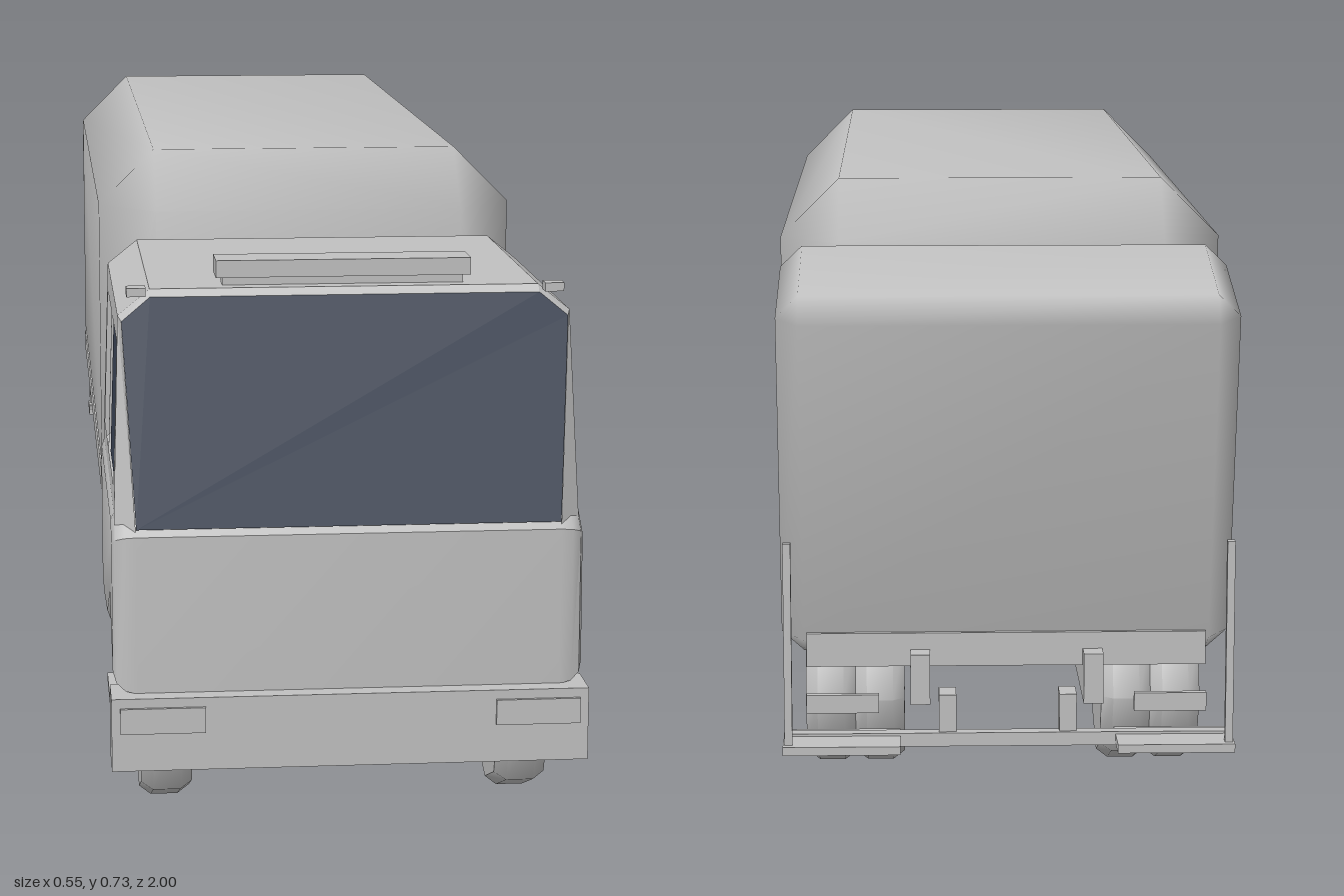
import * as THREE from 'three';
import { mergeVertices, toCreasedNormals } from 'three/addons/utils/BufferGeometryUtils.js';
import { ConvexGeometry } from 'three/addons/geometries/ConvexGeometry.js';

const paint = new THREE.MeshStandardMaterial({ color: 0xc0c0c0, side: THREE.DoubleSide });
paint.name = 'grey paint';
const glass = new THREE.MeshStandardMaterial({ color: 0x3b4455, side: THREE.DoubleSide });
glass.name = 'dark glass';

function add(parent, name, geometry, material = paint) {
  const mesh = new THREE.Mesh(geometry, material);
  mesh.name = name;
  parent.add(mesh);
  return mesh;
}

// Box given by its minimum and maximum corners
function box(parent, name, [x0, x1], [y0, y1], [z0, z1], material) {
  const mesh = add(parent, name, new THREE.BoxGeometry(x1 - x0, y1 - y0, z1 - z0), material);
  mesh.position.set((x0 + x1) / 2, (y0 + y1) / 2, (z0 + z1) / 2);
  return mesh;
}

// The same box on both sides
function boxPair(parent, name, [x0, x1], y, z) {
  box(parent, name + 'Left', [x0, x1], y, z);
  box(parent, name + 'Right', [-x1, -x0], y, z);
}

// Box with every edge chamfered by b and smooth normals
function chamferBox(hx, hy, hz, b) {
  const points = [];
  for (const sx of [-1, 1]) for (const sy of [-1, 1]) for (const sz of [-1, 1]) {
    points.push(
      new THREE.Vector3(sx * hx, sy * (hy - b), sz * (hz - b)),
      new THREE.Vector3(sx * (hx - b), sy * hy, sz * (hz - b)),
      new THREE.Vector3(sx * (hx - b), sy * (hy - b), sz * hz));
  }
  const hull = new ConvexGeometry(points);
  hull.deleteAttribute('normal');
  const smooth = mergeVertices(hull, 1e-4);
  smooth.computeVertexNormals();
  return smooth;
}

// Flat panel from a loop of corners
function panel(...corners) {
  const positions = [];
  for (let i = 1; i < corners.length - 1; i++) positions.push(...corners[0], ...corners[i], ...corners[i + 1]);
  const g = new THREE.BufferGeometry();
  g.setAttribute('position', new THREE.Float32BufferAttribute(positions, 3));
  g.computeVertexNormals();
  return g;
}

const toPath = (points) => points.map(([z, y]) => new THREE.Vector2(z, y));

// Flat (z, y) outline placed on the inward-leaning cab side
function sidePanel(outline, holes, side, offset = 0) {
  const shape = new THREE.Shape(toPath(outline));
  for (const h of holes) shape.holes.push(new THREE.Path(toPath(h)));
  const g = new THREE.ShapeGeometry(shape);
  const p = g.attributes.position;
  for (let i = 0; i < p.count; i++) {
    const z = p.getX(i), y = p.getY(i);
    p.setXYZ(i, side * (0.27 - (y - 0.35) * 0.032 + offset), y, z);
  }
  if (side > 0) g.setIndex([...g.index.array].reverse());
  g.computeVertexNormals();
  return g;
}

function buildCab() {
  const cab = new THREE.Group();
  cab.name = 'cab';

  // Lower body with wheel arches and rounded sides
  const profile = [[0.972, 0.17], [0.972, 0.355], [0.93, 0.385], [0.52, 0.385], [0.5, 0.36],
    [0.5, 0.17], [0.6, 0.17], [0.74, 0.185], [0.855, 0.24], [0.935, 0.185]];
  const lower = new THREE.ExtrudeGeometry(new THREE.Shape(toPath(profile)), {
    depth: 0.49, bevelThickness: 0.028, bevelSize: 0.02, bevelOffset: -0.02, bevelSegments: 3 });
  lower.translate(0, 0, -0.245);
  lower.rotateY(-Math.PI / 2);
  // the turn sends the outline's first axis to +z
  add(cab, 'lowerBody', toCreasedNormals(lower, 0.6));

  // Upper sides with window openings, glass in one of each pair
  const outline = [[0.945, 0.35], [0.902, 0.6], [0.512, 0.6], [0.5, 0.35]];
  const frontWindow = [[0.9, 0.4], [0.9, 0.57], [0.72, 0.57], [0.72, 0.4]];
  const rearWindow = [[0.7, 0.4], [0.7, 0.57], [0.545, 0.57], [0.545, 0.4]];
  for (const s of [1, -1]) {
    add(cab, 'upperSide', sidePanel(outline, [frontWindow, rearWindow], s));
    add(cab, 'sideWindow', sidePanel(s > 0 ? rearWindow : frontWindow, [], s, -0.002), glass);
    add(cab, 'frontPillar', panel([s * 0.245, 0.35, 0.968], [s * 0.27, 0.35, 0.945],
      [s * 0.262, 0.6, 0.902], [s * 0.258, 0.595, 0.915]));
    add(cab, 'pillarTop', panel([s * 0.258, 0.595, 0.915], [s * 0.262, 0.6, 0.902],
      [s * 0.225, 0.63, 0.9], [s * 0.225, 0.622, 0.91]));
    add(cab, 'roofEdge', panel([s * 0.262, 0.6, 0.902], [s * 0.262, 0.6, 0.512],
      [s * 0.225, 0.63, 0.515], [s * 0.225, 0.63, 0.9]));
  }
  add(cab, 'windshield', panel([-0.245, 0.363, 0.968], [0.245, 0.363, 0.968], [0.258, 0.595, 0.915],
    [0.225, 0.622, 0.91], [-0.225, 0.622, 0.91], [-0.258, 0.595, 0.915]), glass);
  add(cab, 'roof', panel([-0.225, 0.63, 0.9], [0.225, 0.63, 0.9], [0.225, 0.63, 0.515], [-0.225, 0.63, 0.515]));
  add(cab, 'roofFront', panel([-0.225, 0.622, 0.91], [0.225, 0.622, 0.91], [0.225, 0.63, 0.9], [-0.225, 0.63, 0.9]));
  add(cab, 'backWall', panel([0.27, 0.35, 0.5], [-0.27, 0.35, 0.5], [-0.262, 0.6, 0.512],
    [-0.225, 0.63, 0.515], [0.225, 0.63, 0.515], [0.262, 0.6, 0.512]));

  // Roof light bar and corner markers
  box(cab, 'lightBarBase', [-0.14, 0.14], [0.628, 0.642], [0.85, 0.88]);
  box(cab, 'lightBar', [-0.148, 0.148], [0.64, 0.66], [0.84, 0.89]);
  boxPair(cab, 'markerLight', [0.23, 0.252], [0.624, 0.634], [0.9, 0.92]);

  // Bumper, headlights and entry steps
  box(cab, 'bumper', [-0.276, 0.276], [0.085, 0.171], [0.935, 0.994]);
  boxPair(cab, 'headlight', [0.168, 0.266], [0.13, 0.16], [0.992, 0.998]);
  boxPair(cab, 'entryStep', [0.22, 0.274], [0.12, 0.128], [0.745, 0.935]);
  return cab;
}

function buildWheels() {
  const wheels = new THREE.Group();
  wheels.name = 'wheels';
  // Eight-sided tyre with rounded shoulders
  const section = [[0, -0.03], [0.095, -0.03], [0.106, -0.016], [0.106, 0.016], [0.095, 0.03], [0, 0.03]];
  const lathe = new THREE.LatheGeometry(section.map(([r, x]) => new THREE.Vector2(r, x)), 8);
  lathe.rotateZ(Math.PI / 2);
  const tyre = toCreasedNormals(lathe, 0.82);
  for (const [axle, z, tracks] of [['front', 0.84, [0.21]], ['middle', -0.415, [0.15, 0.21]], ['rear', -0.69, [0.15, 0.21]]]) {
    for (const x of tracks) for (const s of [1, -1]) {
      add(wheels, axle + 'Wheel', tyre).position.set(s * x, 0.11, z);
    }
  }
  return wheels;
}

function buildRearStep() {
  const step = new THREE.Group();
  step.name = 'rearStep';
  // Crossbar, footboards, grab poles and lamp plates
  box(step, 'underPanel', [-0.235, 0.235], [0.18, 0.22], [-0.895, -0.885]);
  box(step, 'crossbar', [-0.26, 0.26], [0.1, 0.116], [-0.955, -0.94]);
  boxPair(step, 'footboard', [0.125, 0.26], [0.103, 0.113], [-0.998, -0.925]);
  boxPair(step, 'grabPole', [0.249, 0.258], [0.11, 0.35], [-0.99, -0.981]);
  boxPair(step, 'outerLamp', [0.15, 0.235], [0.128, 0.15], [-0.912, -0.904]);
  boxPair(step, 'innerBracket', [0.06, 0.08], [0.1, 0.16], [-0.95, -0.915]);
  return step;
}

export function createModel() {
  const truck = new THREE.Group();
  truck.name = 'refuseTruck';
  truck.add(buildCab(), buildWheels(), buildRearStep());

  // Chassis rails
  boxPair(truck, 'chassisRail', [0.09, 0.113], [0.14, 0.2], [-0.92, 0.95]);

  // Chamfered body with a ledge along each side
  add(truck, 'body', chamferBox(0.27, 0.245, 0.593, 0.072)).position.set(0, 0.486, -0.128);
  boxPair(truck, 'bodyLedge', [0.235, 0.271], [0.278, 0.306], [-0.64, 0.395]);

  // Leaning rear hopper
  const hopper = add(truck, 'hopper', chamferBox(0.265, 0.225, 0.109, 0.026));
  hopper.position.set(0, 0.428, -0.825);
  hopper.rotation.x = -0.225;
  return truck;
}
